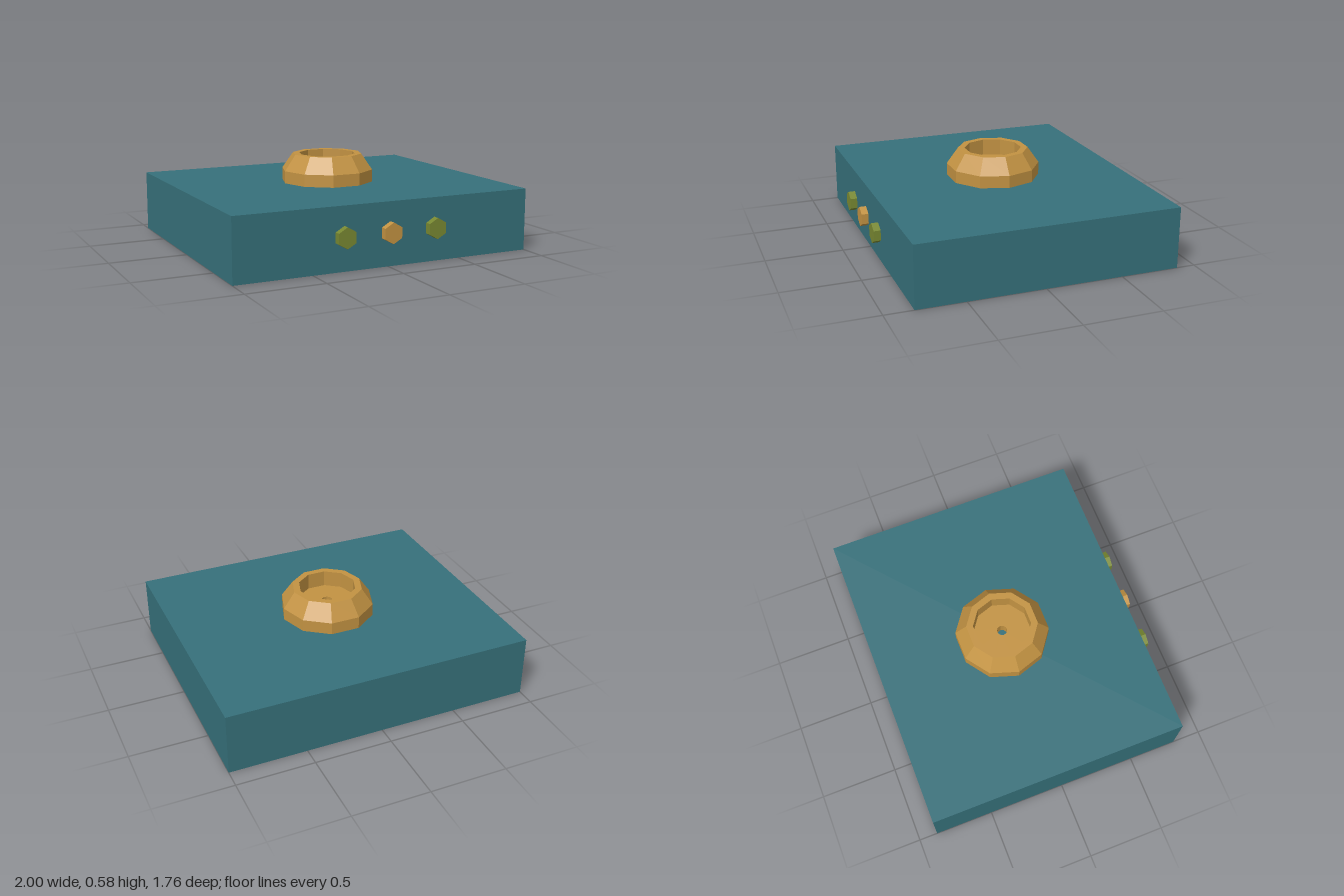
import * as THREE from 'three';

function material(name, color) {
  const m = new THREE.MeshStandardMaterial({ color });
  m.name = name;
  return m;
}

// Faceted normals for the low-poly parts
function faceted(geometry) {
  const g = geometry.index ? geometry.toNonIndexed() : geometry;
  g.computeVertexNormals();
  return g;
}

export function createModel() {
  const model = new THREE.Group();
  const teal = material('teal', 0x36707a);
  const ochre = material('ochre', 0xc29242);
  const olive = material('olive', 0x788832);

  function add(name, geometry, mat, x, y, z) {
    const mesh = new THREE.Mesh(geometry, mat);
    mesh.name = name;
    mesh.position.set(x, y, z);
    model.add(mesh);
  }

  // Slab body, set back slightly behind the buttons
  const back = -0.88, front = 0.815;
  add('body', new THREE.BoxGeometry(2, 0.4, front - back), teal, 0, 0.2, (front + back) / 2);

  // Ten-sided ring with a bevelled shoulder, a recessed floor and a small centre hole
  const profile = [
    [0.305, 0], [0.305, 0.08], [0.231, 0.185], [0.187, 0.185],
    [0.187, 0.08], [0.033, 0.08], [0.033, 0],
  ].map(([r, y]) => new THREE.Vector2(r, y));
  add('socketRing', faceted(new THREE.LatheGeometry(profile, 10, Math.PI / 2)), ochre, 0, 0.4, -0.034);

  // Row of hexagonal buttons standing just off the front face
  const button = faceted(new THREE.CylinderGeometry(0.066, 0.066, 0.044, 6).rotateX(Math.PI / 2));
  [['rightButton', -0.307, olive], ['middleButton', 0, ochre], ['leftButton', 0.307, olive]]
    .forEach(([name, x, mat]) => add(name, button, mat, x, 0.217, 0.858));

  return model;
}
